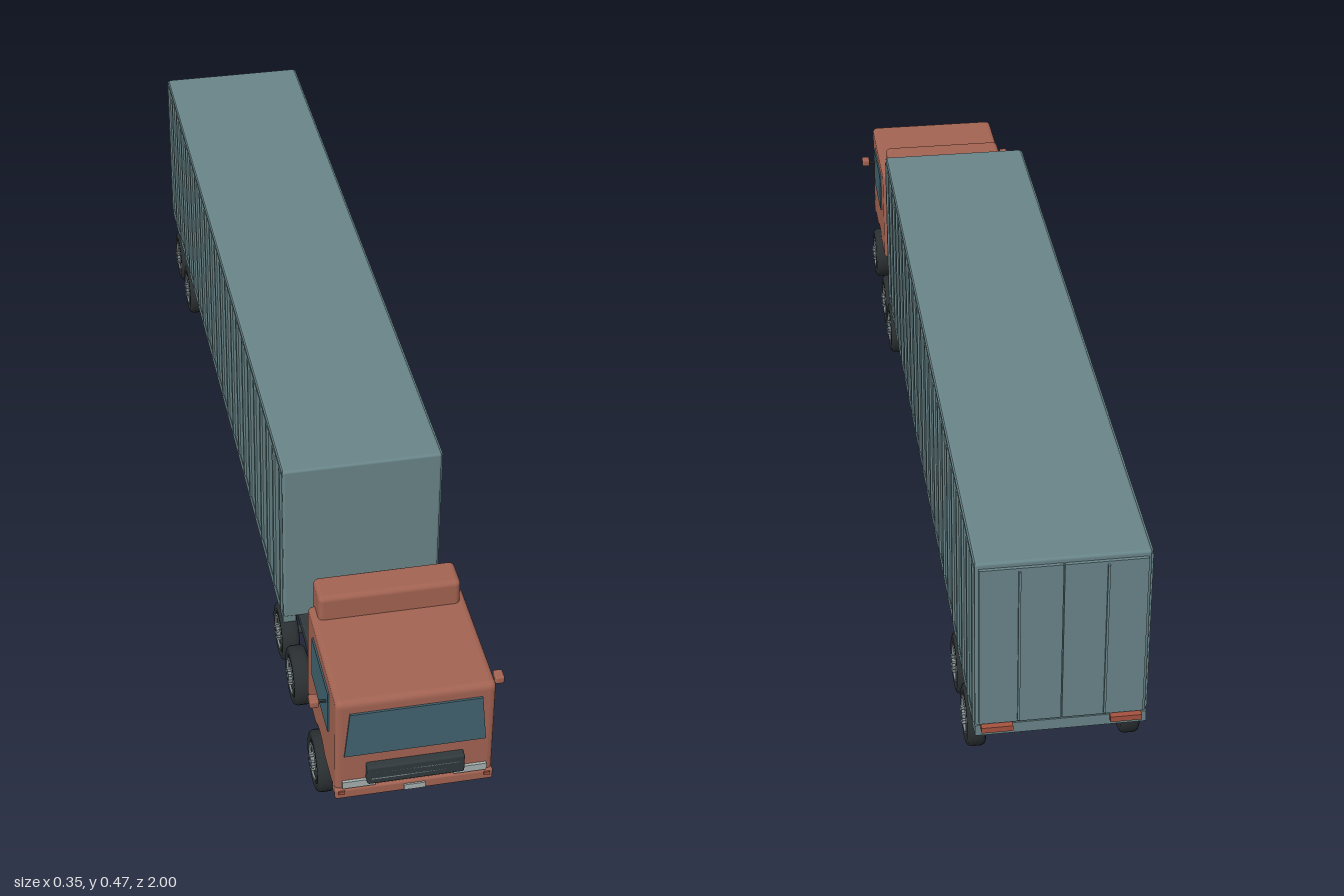
import * as THREE from 'three';
import { RoundedBoxGeometry } from 'three/addons/geometries/RoundedBoxGeometry.js';

const mat = (name, color, side = THREE.FrontSide) => {
  const m = new THREE.MeshStandardMaterial({ color, side });
  m.name = name;
  return m;
};

export function createModel() {
  const truck = new THREE.Group();
  truck.name = 'truck';
  const teal = mat('container teal', 0x698589);
  const red = mat('cab red', 0xa26352);
  const glass = mat('window glass', 0x41636f, THREE.DoubleSide);
  const dark = mat('chassis dark', 0x30393c);
  const rubber = mat('tyre rubber', 0x2a2f31);
  const metal = mat('hub metal', 0x849093);
  const light = mat('lamp grey', 0xa8b0b0);
  const lamp = mat('tail lamp red', 0xa5523f);

  const add = (name, geo, material, x = 0, y = 0, z = 0, parent = truck) => {
    const m = new THREE.Mesh(geo, material);
    m.name = name;
    m.position.set(x, y, z);
    parent.add(m);
    return m;
  };
  // Box given by its limits; r rounds the edges
  const box = (name, material, x0, x1, y0, y1, z0, z1, r = 0) => {
    const s = [x1 - x0, y1 - y0, z1 - z0];
    const geo = r ? new RoundedBoxGeometry(...s, 3, r) : new THREE.BoxGeometry(...s);
    return add(name, geo, material, (x0 + x1) / 2, (y0 + y1) / 2, (z0 + z1) / 2);
  };
  // The same box on both sides of x = 0
  const pair = (name, material, x0, x1, ...rest) => {
    box(name + 'Left', material, x0, x1, ...rest);
    box(name + 'Right', material, -x1, -x0, ...rest);
  };

  // Chassis
  box('chassis', dark, -0.116, 0.116, 0.084, 0.11, -0.93, 0.93, 0.004);
  box('chassisKeel', dark, -0.1, 0.1, 0.078, 0.086, -0.9, 0.9);

  // Container with ribs, rails and corner posts
  box('container', teal, -0.149, 0.149, 0.12, 0.472, -0.985, 0.523, 0.005);
  pair('bottomRail', teal, 0.125, 0.15, 0.106, 0.128, -0.98, 0.52);
  box('rearSill', teal, -0.15, 0.15, 0.108, 0.13, -0.988, -0.94);
  pair('topRail', teal, 0.146, 0.151, 0.462, 0.47, -0.98, 0.518);
  const ribs = 22;
  for (let i = 0; i < ribs; i++) {
    const z = 0.505 - (i * 1.475) / (ribs - 1);
    pair('containerRib', teal, 0.147, 0.153, 0.13, 0.465, z - 0.006, z + 0.006);
  }

  // Rear doors, locking bars and lamps
  pair('rearDoor', teal, 0.001, 0.143, 0.135, 0.462, -0.991, -0.98);
  pair('lockBar', teal, 0.073, 0.077, 0.14, 0.456, -0.996, -0.99);
  pair('tailLamp', lamp, 0.085, 0.14, 0.122, 0.133, -1, -0.985);

  // Cab body: side profile with a wheel arch, extruded across the width
  const s = new THREE.Shape();
  const t = Math.asin(0.048 / 0.062);
  s.moveTo(0.735, 0.105);
  s.absarc(0.845, 0.057, 0.062, Math.PI - t, t, true);
  s.lineTo(0.975, 0.105);
  s.quadraticCurveTo(0.985, 0.105, 0.985, 0.115);
  s.lineTo(0.983, 0.311);
  s.quadraticCurveTo(0.983, 0.325, 0.969, 0.325);
  s.lineTo(0.735, 0.325);
  s.quadraticCurveTo(0.722, 0.325, 0.722, 0.311);
  s.lineTo(0.722, 0.118);
  s.quadraticCurveTo(0.722, 0.105, 0.735, 0.105);
  const cabGeo = new THREE.ExtrudeGeometry(s, {
    depth: 0.262, bevelThickness: 0.01, bevelSize: 0.008, bevelOffset: -0.008,
    bevelSegments: 3, curveSegments: 10,
  });
  cabGeo.translate(0, 0, -0.131).rotateY(-Math.PI / 2);
  add('cab', cabGeo, red);
  box('sleeperHousing', red, -0.129, 0.129, 0.16, 0.375, 0.706, 0.768, 0.01);
  box('rearPanel', red, -0.105, 0.105, 0.175, 0.335, 0.702, 0.708);
  box('frontBumper', red, -0.142, 0.142, 0.103, 0.126, 0.96, 0.99, 0.005);

  // Windows
  const pane = new THREE.Shape([[-0.126, 0.202], [0.126, 0.202], [0.117, 0.3], [-0.117, 0.3]]
    .map(([x, y]) => new THREE.Vector2(x, y)));
  add('windscreen', new THREE.ExtrudeGeometry(pane, { depth: 0.004, bevelEnabled: false }), glass, 0, 0, 0.983);
  pair('sideWindow', glass, 0.139, 0.144, 0.207, 0.296, 0.778, 0.925);

  // Grille, lamps and plate
  box('grille', dark, -0.087, 0.087, 0.14, 0.18, 0.975, 1, 0.004);
  for (const y of [0.153, 0.166]) box('grilleBar', metal, -0.08, 0.08, y - 0.001, y + 0.001, 0.997, 1);
  pair('headlamp', light, 0.07, 0.129, 0.128, 0.143, 0.98, 0.99);
  pair('indicator', lamp, 0.125, 0.136, 0.116, 0.123, 0.985, 0.992);
  box('numberPlate', light, -0.019, 0.019, 0.108, 0.12, 0.985, 0.993);

  // Mirrors
  pair('mirrorArm', dark, 0.138, 0.16, 0.265, 0.269, 0.907, 0.912);
  pair('mirror', red, 0.157, 0.174, 0.262, 0.278, 0.898, 0.921, 0.004);

  // Wheels, modelled with the outer face towards +x
  const turn = (geo) => geo.rotateZ(-Math.PI / 2);
  const tyreGeo = turn(new THREE.LatheGeometry(
    [[0.034, -0.016], [0.049, -0.017], [0.054, -0.015], [0.057, -0.009], [0.057, 0.009],
      [0.054, 0.015], [0.049, 0.017], [0.034, 0.016], [0.034, -0.016]]
      .map(([r, y]) => new THREE.Vector2(r, y)), 32));
  const discGeo = turn(new THREE.CylinderGeometry(0.0345, 0.0345, 0.018, 28));
  const ringGeo = new THREE.TorusGeometry(0.0325, 0.0025, 6, 28).rotateY(Math.PI / 2);
  const recessGeo = turn(new THREE.CylinderGeometry(0.019, 0.019, 0.004, 24));
  const hubGeo = turn(new THREE.CylinderGeometry(0.009, 0.011, 0.014, 16));
  const nutGeo = turn(new THREE.CylinderGeometry(0.0025, 0.0025, 0.008, 6));
  const axleGeo = turn(new THREE.CylinderGeometry(0.009, 0.009, 0.26, 12));

  for (const z of [0.845, 0.617, 0.49, -0.725, -0.87]) {
    add('axle', axleGeo, dark, 0, 0.057, z);
    for (const side of [1, -1]) {
      const wheel = new THREE.Group();
      wheel.name = side > 0 ? 'wheelLeft' : 'wheelRight';
      wheel.position.set(side * 0.138, 0.057, z);
      if (side < 0) wheel.rotation.y = Math.PI;
      add('tyre', tyreGeo, rubber, 0, 0, 0, wheel);
      add('rimDisc', discGeo, metal, 0, 0, 0, wheel);
      add('rimRing', ringGeo, metal, 0.0155, 0, 0, wheel);
      add('hubRecess', recessGeo, dark, 0.008, 0, 0, wheel);
      add('hub', hubGeo, metal, 0.014, 0, 0, wheel);
      for (let i = 0; i < 8; i++) {
        const a = (i / 8) * Math.PI * 2;
        add('wheelNut', nutGeo, metal, 0.018, Math.cos(a) * 0.0145, Math.sin(a) * 0.0145, wheel);
      }
      truck.add(wheel);
    }
  }
  return truck;
}
